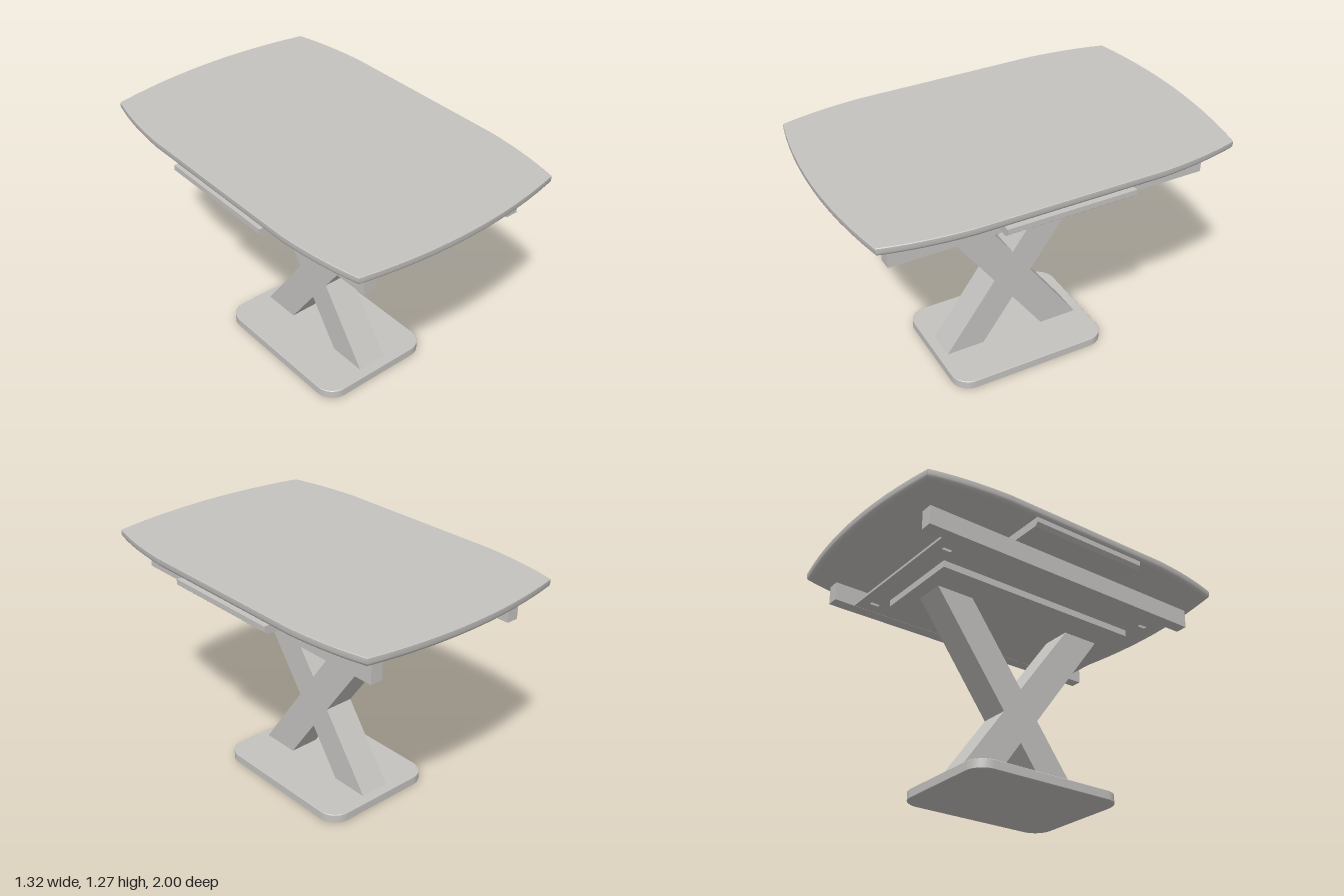
import * as THREE from 'three';
import { toCreasedNormals } from 'three/addons/utils/BufferGeometryUtils.js';

const grey = new THREE.MeshStandardMaterial({ color: 0xc4c2bf });
grey.name = 'warm grey';

// Convex outline in (x, z) lofted through [height, inset] sections and capped
function loft(outline, sections) {
  const pos = [];
  const halfX = Math.max(...outline.map(p => p.x));
  const halfZ = Math.max(...outline.map(p => p.y));
  const n = outline.length;
  const at = (i, [y, inset]) => {
    const p = outline[i % n];
    return [p.x * (1 - inset / halfX), y, p.y * (1 - inset / halfZ)];
  };
  for (let s = 0; s < sections.length - 1; s++) {
    for (let i = 0; i < n; i++) {
      const a = at(i, sections[s]), b = at(i + 1, sections[s]);
      const c = at(i + 1, sections[s + 1]), d = at(i, sections[s + 1]);
      pos.push(...a, ...d, ...b, ...b, ...d, ...c);
    }
  }
  const low = sections[0], high = sections[sections.length - 1];
  for (let i = 0; i < n; i++) {
    pos.push(0, high[0], 0, ...at(i + 1, high), ...at(i, high));
    pos.push(0, low[0], 0, ...at(i, low), ...at(i + 1, low));
  }
  const geo = new THREE.BufferGeometry();
  geo.setAttribute('position', new THREE.Float32BufferAttribute(pos, 3));
  return toCreasedNormals(geo, 0.6);
}

function polygon(points) {
  return new THREE.Shape(points.map(([x, y]) => new THREE.Vector2(x, y)));
}

// Extrusion centred on its own depth
function extrude(shape, depth) {
  return new THREE.ExtrudeGeometry(shape, { depth, bevelEnabled: false, curveSegments: 8 })
    .translate(0, 0, -depth / 2);
}

export function createModel() {
  const model = new THREE.Group();
  model.name = 'diningTable';
  const add = (name, geo, x = 0, y = 0, z = 0) => {
    const mesh = new THREE.Mesh(geo, grey);
    mesh.name = name;
    mesh.position.set(x, y, z);
    model.add(mesh);
  };

  // Table top with bowed sides and a rounded lower edge
  const top = new THREE.Shape();
  top.moveTo(0.66, -0.5);
  top.lineTo(0.66, 0.5);
  top.quadraticCurveTo(0.645, 0.75, 0.593, 0.935);
  top.quadraticCurveTo(0, 1.065, -0.593, 0.935);
  top.quadraticCurveTo(-0.645, 0.75, -0.66, 0.5);
  top.lineTo(-0.66, -0.5);
  top.quadraticCurveTo(-0.645, -0.75, -0.593, -0.935);
  top.quadraticCurveTo(0, -1.065, 0.593, -0.935);
  top.quadraticCurveTo(0.645, -0.75, 0.66, -0.5);
  const outline = top.getPoints(12).slice(0, -1);
  add('tableTop', loft(outline, [
    [1.226, 0.022], [1.23, 0.012], [1.238, 0.004], [1.248, 0], [1.272, 0], [1.275, 0.003],
  ]));

  // Stored extension leaf with chamfered lower ends
  add('extensionLeaf', extrude(polygon([
    [-0.64, 1.17], [0.64, 1.17], [0.66, 1.187], [0.66, 1.215], [-0.66, 1.215], [-0.66, 1.187],
  ]), 0.68));

  // Side rails
  for (const side of [-1, 1]) {
    add(side > 0 ? 'leftRail' : 'rightRail',
      new THREE.BoxGeometry(0.067, 0.103, 1.69), side * 0.449, 1.1185, 0);
  }

  // Thin plate between the rails, with a slot near each corner
  const plate = polygon([[-0.416, -0.73], [0.416, -0.73], [0.416, 0.73], [-0.416, 0.73]]);
  for (const sx of [-1, 1]) {
    for (const sz of [-1, 1]) {
      const x = sx * 0.34, z = sz * 0.65;
      plate.holes.push(new THREE.Path([
        [x - 0.01, z - 0.025], [x - 0.01, z + 0.025], [x + 0.01, z + 0.025], [x + 0.01, z - 0.025],
      ].map(([u, v]) => new THREE.Vector2(u, v))));
    }
  }
  add('slidePlate', extrude(plate, 0.014).rotateX(-Math.PI / 2), 0, 1.075, 0);

  // Mounting plate on top of the legs
  add('mountingPlate', new THREE.BoxGeometry(0.504, 0.037, 1.216), 0, 1.0495, 0);

  // Crossed pedestal legs, outlined in (z, y)
  add('crossedLegs', extrude(polygon([
    [0.18, 0.048], [0.395, 0.048], [0.107, 0.447], [0.53, 1.033], [0.315, 1.033], [0, 0.598],
    [-0.315, 1.033], [-0.53, 1.033], [-0.107, 0.447], [-0.395, 0.048], [-0.18, 0.048], [0, 0.3],
  ]), 0.166).rotateY(-Math.PI / 2));

  // Rounded base plate
  const base = new THREE.Shape();
  const w = 0.337, l = 0.446, r = 0.1;
  base.absarc(w - r, l - r, r, 0, Math.PI / 2);
  base.absarc(r - w, l - r, r, Math.PI / 2, Math.PI);
  base.absarc(r - w, r - l, r, Math.PI, Math.PI * 1.5);
  base.absarc(w - r, r - l, r, Math.PI * 1.5, Math.PI * 2);
  add('basePlate', loft(base.getPoints(8), [[0, 0.003], [0.003, 0], [0.047, 0], [0.05, 0.003]]));

  return model;
}
